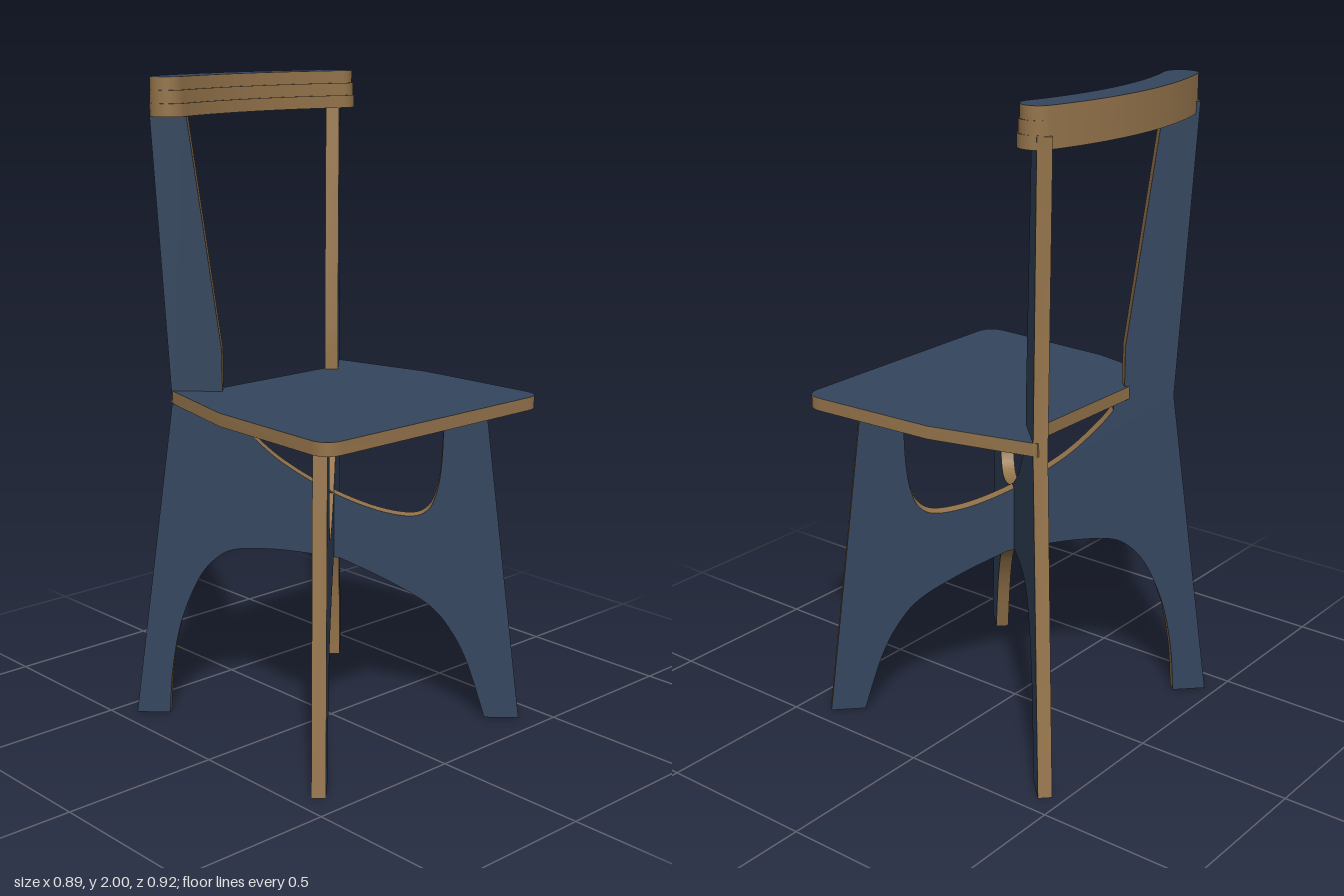
import * as THREE from 'three';
import { toCreasedNormals } from 'three/addons/utils/BufferGeometryUtils.js';

const PLY = 0.042;      // panel thickness
const CROSS_Z = -0.018; // where the two leg panels cross
const V = (x, y) => new THREE.Vector2(x, y);

export function createModel() {
  const group = new THREE.Group();
  const navy = new THREE.MeshStandardMaterial({ color: 0x34465e });
  navy.name = 'navy face';
  const wood = new THREE.MeshStandardMaterial({ color: 0x96754c });
  wood.name = 'plywood edge';

  // Sheet cut from a shape: navy faces, bare plywood edges
  const sheet = (name, shape, depth) => {
    let geo = new THREE.ExtrudeGeometry(shape, { depth, bevelEnabled: false, curveSegments: 32 });
    geo = toCreasedNormals(geo, 0.5);
    const mesh = new THREE.Mesh(geo, [navy, wood]);
    mesh.name = name;
    return mesh;
  };

  // Leg panel: x runs from the front foot (-) to the back foot (+)
  const k = Math.SQRT2;
  const P = (u, y) => V(u * k, y);
  const leg = new THREE.Shape();
  leg.moveTo(-0.43 * k, 0);
  leg.lineTo(-0.353 * k, 0);
  // arch under the seat, in two sweeps meeting near the middle
  leg.splineThru([P(-0.313, 0.18), P(-0.275, 0.29), P(-0.225, 0.375), P(-0.133, 0.455), P(-0.03, 0.525)]);
  leg.splineThru([P(0.04, 0.54), P(0.12, 0.552), P(0.2, 0.55), P(0.245, 0.52),
    P(0.285, 0.45), P(0.325, 0.31), P(0.347, 0.15), P(0.355, 0)]);
  // back foot and upright
  leg.lineTo(0.43 * k, 0);
  leg.lineTo(0.335 * k, 1.02);
  leg.lineTo(0.371 * k, 1.92);
  leg.lineTo(0.296 * k, 1.92);
  leg.lineTo(0.226 * k, 1.18);
  leg.lineTo(0.226 * k, 1.03);
  leg.lineTo(0.203 * k, 1.03);
  leg.lineTo(0.203 * k, 0.98);
  // scoop between the upright and the front leg
  leg.splineThru([P(0.17, 0.925), P(0.1, 0.835), P(0, 0.747), P(-0.1, 0.687),
    P(-0.18, 0.665), P(-0.22, 0.685), P(-0.24, 0.745), P(-0.25, 0.85), P(-0.253, 1.02)]);
  leg.lineTo(-0.343 * k, 1.02);
  leg.closePath();

  [['legPanelLeft', Math.PI / 4], ['legPanelRight', 3 * Math.PI / 4]].forEach(([name, angle]) => {
    const panel = sheet(name, leg, PLY);
    panel.geometry.translate(0, 0, -PLY / 2);
    panel.rotation.y = angle;
    panel.position.z = CROSS_Z;
    group.add(panel);
  });

  // Seat, drawn with shape y = -z; rear corners run along the leg panels
  const seat = new THREE.Shape();
  seat.moveTo(-0.38, -0.46);
  seat.lineTo(0.38, -0.46);
  seat.quadraticCurveTo(0.445, -0.46, 0.443, -0.395);
  seat.lineTo(0.426, 0.015);
  seat.lineTo(0.346, 0.35);
  seat.lineTo(0.332, 0.35);
  seat.lineTo(0.252, 0.27);
  seat.lineTo(-0.252, 0.27);
  seat.lineTo(-0.332, 0.35);
  seat.lineTo(-0.346, 0.35);
  seat.lineTo(-0.426, 0.015);
  seat.lineTo(-0.443, -0.395);
  seat.quadraticCurveTo(-0.445, -0.46, -0.38, -0.46);
  const seatMesh = sheet('seat', seat, 0.04);
  seatMesh.rotation.x = -Math.PI / 2;
  seatMesh.position.y = 1.015;
  group.add(seatMesh);

  // Curved band with round ends, centred on an arc in front of the chair
  const traceBand = (path, rIn, rOut, a) => {
    const cy = -0.678, h = Math.PI / 2, mid = (rIn + rOut) / 2, cap = (rOut - rIn) / 2;
    const cx = mid * Math.sin(a), cyEnd = cy + mid * Math.cos(a);
    path.absarc(0, cy, rOut, h - a, h + a, false);
    path.absarc(-cx, cyEnd, cap, h + a, 3 * h + a, false);
    path.absarc(0, cy, rIn, h + a, h - a, true);
    path.absarc(cx, cyEnd, cap, -h - a, h - a, false);
    return path;
  };

  // Backrest: three stacked layers, each stepping slightly forward;
  // the lowest one is slotted to take the uprights
  const backrest = new THREE.Group();
  backrest.name = 'backrest';
  for (let i = 0; i < 3; i++) {
    const shape = traceBand(new THREE.Shape(), 1.028 - i * 0.005, 1.128, 0.321);
    if (i === 2) shape.holes.push(traceBand(new THREE.Path(), 1.04, 1.108, 0.321));
    const layer = sheet('backrestLayer' + (i + 1), shape, 0.0385);
    layer.rotation.x = -Math.PI / 2;
    layer.position.y = 2 - 0.0385 * (i + 1);
    backrest.add(layer);
  }
  group.add(backrest);
  return group;
}
